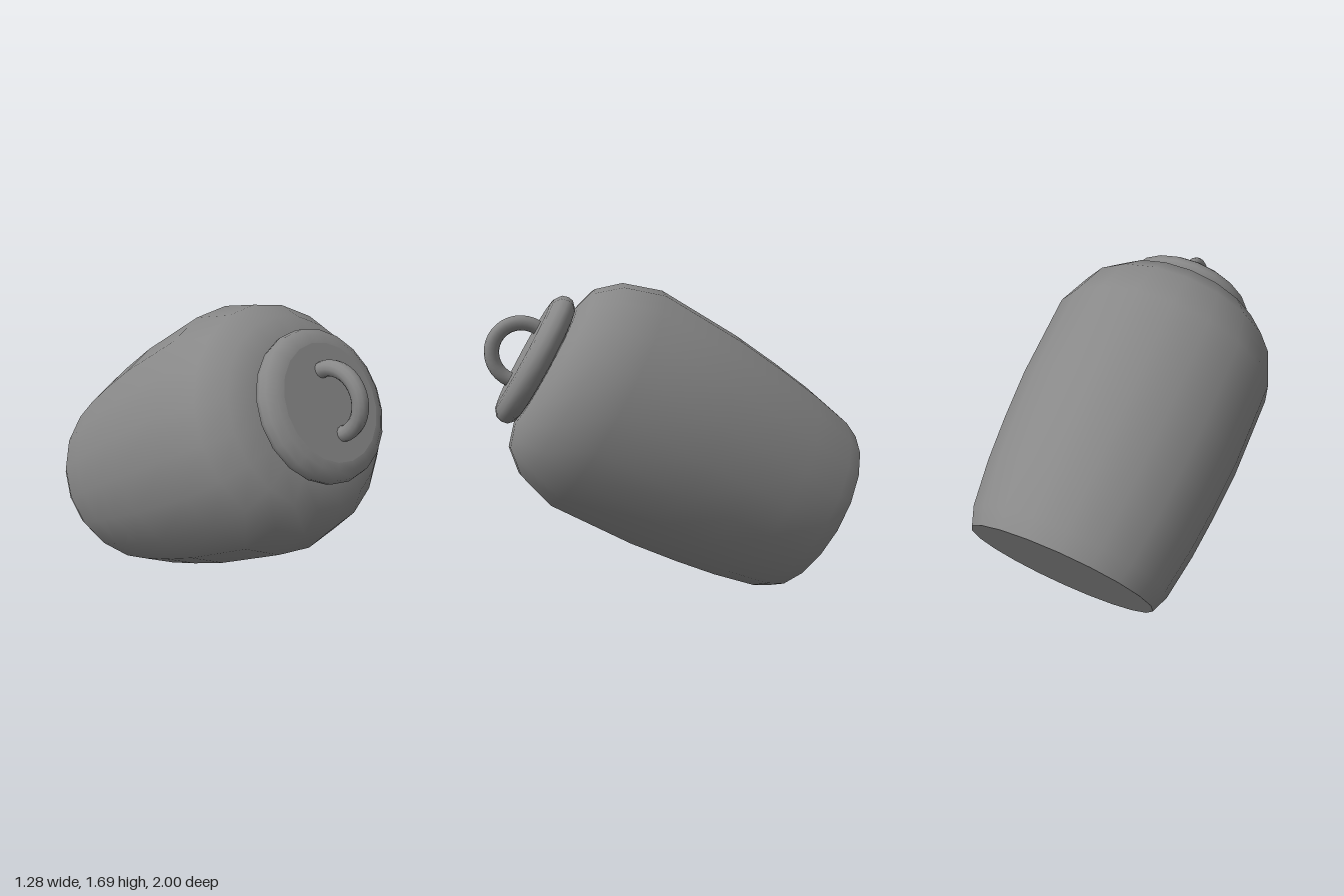
import * as THREE from 'three';

const SIDES = 20;

export function createModel() {
  const material = new THREE.MeshStandardMaterial({ color: 0x888888 });
  const model = new THREE.Group();
  model.name = 'tiltedJar';

  // Everything is built upright on the jar's own axis, then tipped forward
  const jar = new THREE.Group();
  jar.name = 'jar';
  jar.rotation.x = Math.PI / 3;
  jar.position.set(0, 0.441, -0.745);
  model.add(jar);

  const add = (name, geometry) => {
    const mesh = new THREE.Mesh(geometry, material);
    mesh.name = name;
    jar.add(mesh);
    return mesh;
  };
  const lathe = (points) =>
    new THREE.LatheGeometry(points.map(([r, y]) => new THREE.Vector2(r, y)), SIDES);

  // Bulging body, its rounded shoulder levelling off under the lid
  add('body', lathe([
    [0.507, 0], [0.546, 0.093], [0.588, 0.335], [0.614, 0.57], [0.635, 0.84], [0.639, 1.314],
    [0.568, 1.515], [0.467, 1.626], [0.34, 1.662], [0.25, 1.662],
  ]));

  // Flat base, kept separate so its edge stays sharp
  add('base', new THREE.CircleGeometry(0.507, SIDES).rotateX(Math.PI / 2));

  // Disc lid with a rounded rim
  add('lid', lathe([
    [0.28, 1.655], [0.333, 1.667], [0.362, 1.695], [0.366, 1.722], [0.356, 1.754],
    [0.318, 1.781], [0.28, 1.787],
  ]));
  add('lidTop', new THREE.CircleGeometry(0.28, SIDES).rotateX(-Math.PI / 2)).position.y = 1.787;

  // Half-ring handle, its ends sunk a little into the lid
  const sink = 0.25;
  const ring = new THREE.TorusGeometry(0.152, 0.038, 12, 20, Math.PI + 2 * sink);
  ring.rotateZ(-sink).rotateY(Math.PI / 2);
  add('handle', ring).position.y = 1.795;

  return model;
}
